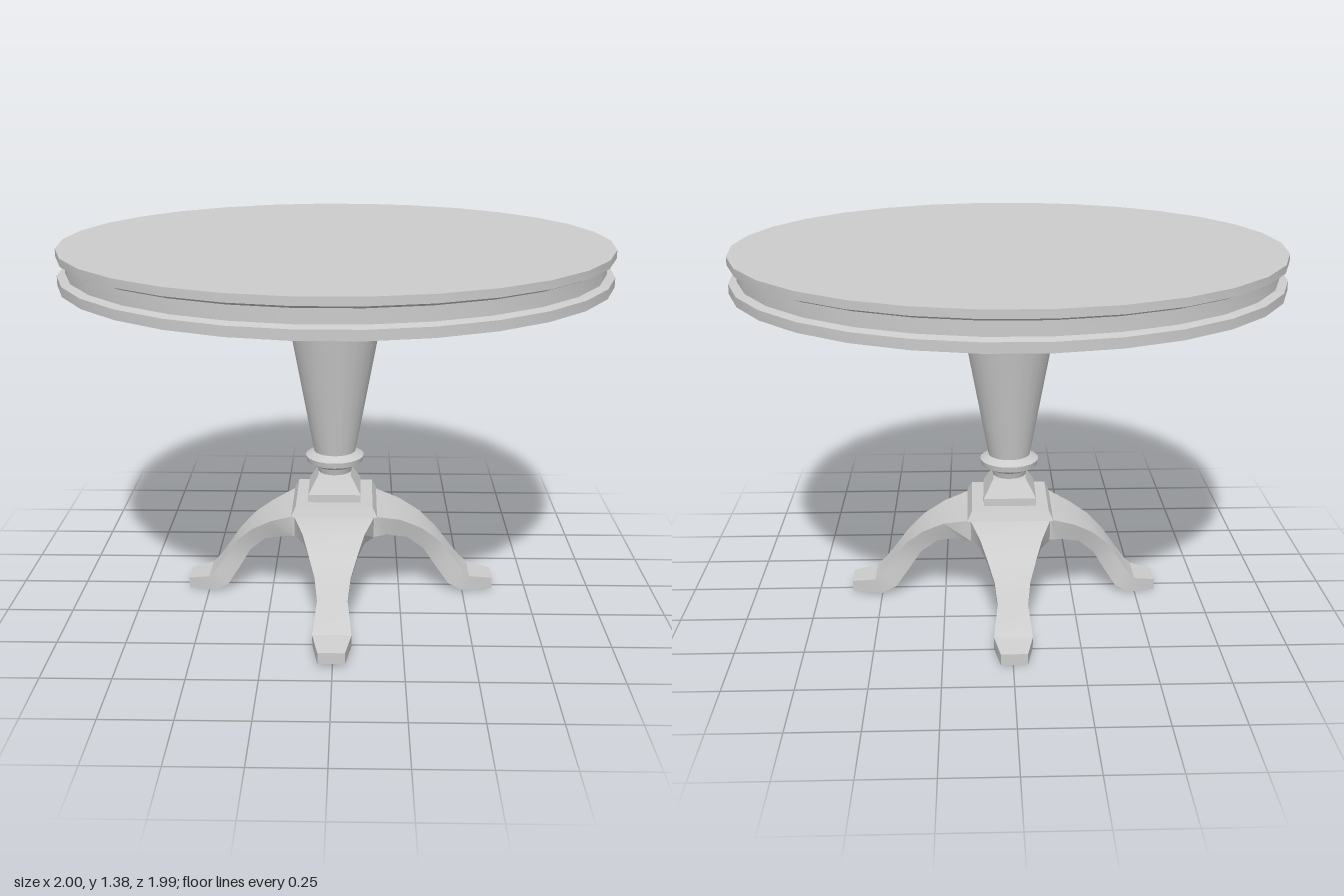
import * as THREE from 'three';
import { toCreasedNormals } from 'three/addons/utils/BufferGeometryUtils.js';

const grey = new THREE.MeshStandardMaterial({ color: 0xcccccc });

function part(name, geometry, crease = 0.6) {
  const mesh = new THREE.Mesh(toCreasedNormals(geometry, crease), grey);
  mesh.name = name;
  return mesh;
}

// Turned profile given as [radius, height], from the bottom up
function turned(name, profile, sides, start, crease) {
  const points = profile.map(([r, y]) => new THREE.Vector2(r, y));
  return part(name, new THREE.LatheGeometry(points, sides, start), crease);
}

// Square block: the same profile with half widths instead of radii
function squared(name, profile) {
  const corners = profile.map(([w, y]) => [w * Math.SQRT2, y]);
  return turned(name, corners, 4, Math.PI / 4, 0.3);
}

// Leg cross-sections: top distance, top height, bottom distance, bottom height, half width
const legSections = [
  [0.13, 0.355, 0.13, 0.27, 0.155],
  [0.16, 0.352, 0.155, 0.27, 0.15],
  [0.254, 0.326, 0.2, 0.265, 0.115],
  [0.334, 0.283, 0.28, 0.245, 0.09],
  [0.4, 0.225, 0.345, 0.187, 0.065],
  [0.45, 0.16, 0.388, 0.118, 0.055],
  [0.495, 0.1, 0.445, 0.037, 0.065],
  [0.527, 0.07, 0.5, 0.01, 0.07],
  [0.617, 0.053, 0.617, 0.01, 0.048],
];

// Leg pointing to +z, lofted through the sections
function leg(name, length, drop) {
  const stretch = (d) => (d < 0.16 ? d : 0.16 + (d - 0.16) * (length - 0.16) / 0.457);
  const positions = [];
  const index = [];
  legSections.forEach(([dt, yt, db, yb, w], i) => {
    const fall = i < 2 ? 0 : drop;
    const zt = stretch(dt), zb = stretch(db);
    positions.push(-w, yb - fall, zb, w, yb - fall, zb, w, yt - fall, zt, -w, yt - fall, zt);
    if (i === 0) return;
    const a = (i - 1) * 4, b = i * 4;
    for (let k = 0; k < 4; k++) {
      const n = (k + 1) % 4;
      index.push(a + k, a + n, b + n, a + k, b + n, b + k);
    }
  });
  const e = (legSections.length - 1) * 4;
  index.push(e, e + 1, e + 2, e, e + 2, e + 3, 0, 2, 1, 0, 3, 2);
  const geometry = new THREE.BufferGeometry();
  geometry.setAttribute('position', new THREE.Float32BufferAttribute(positions, 3));
  geometry.setIndex(index);
  return part(name, geometry, 0.5);
}

export function createModel() {
  const table = new THREE.Group();
  table.name = 'pedestalTable';

  // Round top with a groove around its edge
  table.add(turned('tableTop', [
    [0, 1.25], [1, 1.25], [1, 1.284], [0.97, 1.292],
    [0.97, 1.34], [1, 1.352], [1, 1.38], [0, 1.38],
  ], 30, Math.PI / 2, 0.5));

  const base = new THREE.Group();
  base.name = 'pedestal';
  base.position.x = -0.004;
  table.add(base);

  // Turned column with a collar near its foot
  base.add(turned('column', [
    [0, 0.47], [0.063, 0.485], [0.07, 0.51], [0.108, 0.53], [0.112, 0.552],
    [0.08, 0.57], [0.172, 1.07], [0.16, 1.083], [0.106, 1.15], [0.122, 1.25],
  ], 24, 0, 0.6));

  // Square plinth above the legs and the hub between them
  base.add(squared('plinth', [[0, 0.487], [0.062, 0.487], [0.1, 0.42], [0.1, 0.385]].reverse()
    .filter(([w]) => w > 0).concat([[0, 0.487]])));
  base.add(squared('hub', [[0, 0.27], [0.152, 0.27], [0.155, 0.352], [0.163, 0.354], [0.146, 0.39], [0, 0.39]]));

  // Four curved legs: name, turn, length, drop
  [
    ['frontLeg', 0, 0.655, 0],
    ['leftLeg', Math.PI / 2, 0.62, 0],
    ['backLeg', Math.PI, 0.61, 0.01],
    ['rightLeg', -Math.PI / 2, 0.576, 0.01],
  ].forEach(([name, turn, length, drop]) => {
    const mesh = leg(name, length, drop);
    mesh.rotation.y = turn;
    base.add(mesh);
  });

  return table;
}
